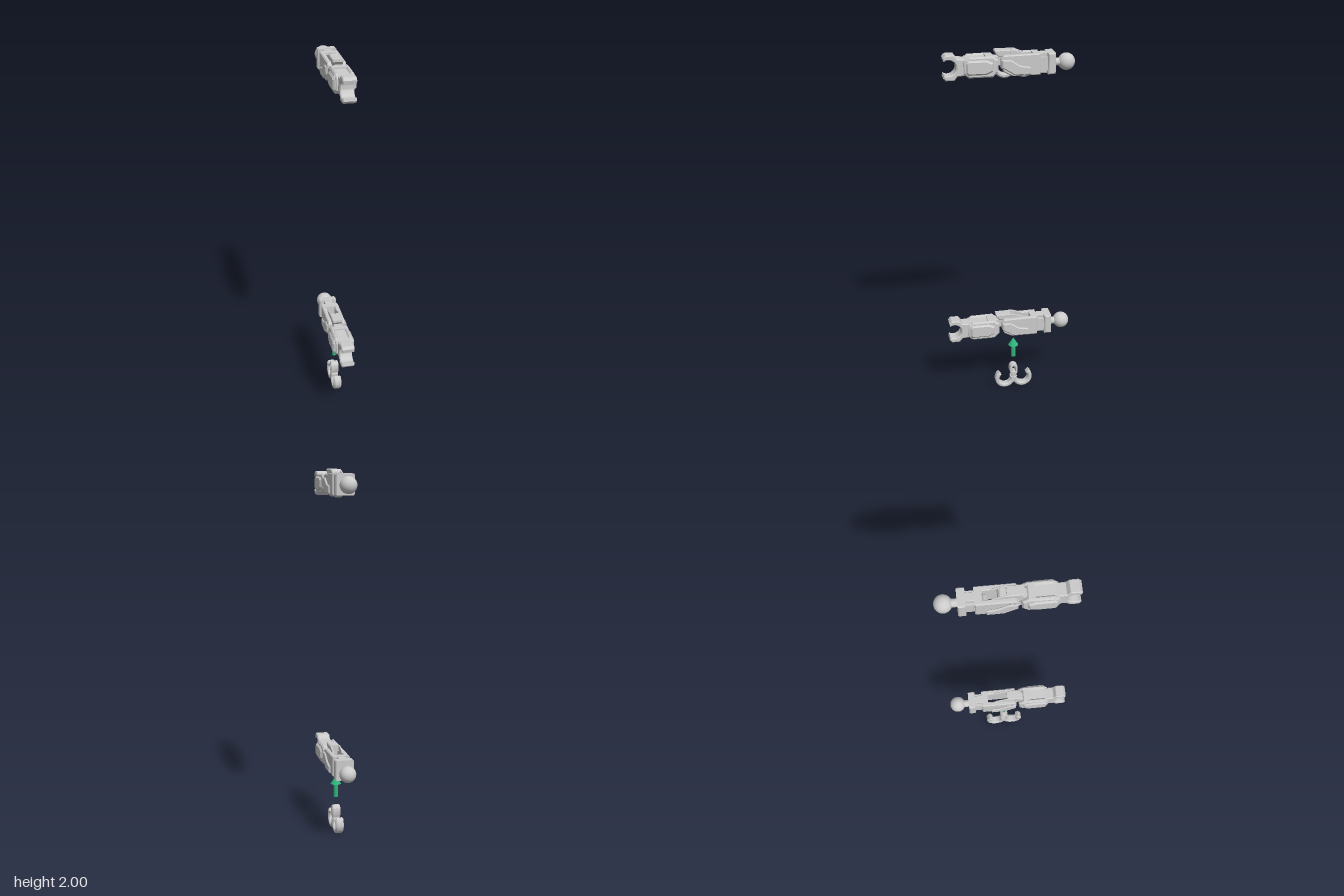
import * as THREE from 'three';
import { toCreasedNormals } from 'three/addons/utils/BufferGeometryUtils.js';

const grey = new THREE.MeshStandardMaterial({ color: 0xcccccc });
const green = new THREE.MeshStandardMaterial({ color: 0x2fb37a });

function add(parent, name, geometry, material = grey) {
  const mesh = new THREE.Mesh(geometry, material);
  mesh.name = name;
  parent.add(mesh);
  return mesh;
}

function polygon(points) {
  return new THREE.Shape(points.map(([s, y]) => new THREE.Vector2(s, y)));
}

// Side profile (z, y) extruded across x from x0 to x1, with chamfered edges
function slab(parent, name, profile, x0, x1, bevel = 0.004) {
  const shape = Array.isArray(profile) ? polygon(profile) : profile;
  const g = new THREE.ExtrudeGeometry(shape, {
    depth: x1 - x0 - 2 * bevel, bevelEnabled: bevel > 0, bevelSize: bevel,
    bevelThickness: bevel, bevelOffset: -bevel, bevelSegments: 1, curveSegments: 20,
  });
  g.translate(0, 0, -x1 + bevel).rotateY(-Math.PI / 2);
  return add(parent, name, toCreasedNormals(g, 0.5));
}

// The same slab on the left and on the right
function pair(parent, name, profile, x0, x1, bevel) {
  slab(parent, name + 'Left', profile, x0, x1, bevel);
  slab(parent, name + 'Right', profile, -x1, -x0, bevel);
}

const rect = (s0, s1, y0, y1) => [[s0, y0], [s1, y0], [s1, y1], [s0, y1]];

function makeArm() {
  const arm = new THREE.Group();

  // Ball joint and neck
  add(arm, 'ball', new THREE.SphereGeometry(0.045, 32, 24)).position.z = -0.303;
  const neck = add(arm, 'neck', new THREE.CylinderGeometry(0.021, 0.021, 0.06, 24));
  neck.rotation.x = Math.PI / 2;
  neck.position.z = -0.25;

  // Shoulder block and stepped waist
  slab(arm, 'shoulderBlock', rect(-0.237, -0.197, -0.053, 0.058), -0.051, 0.051, 0.006);
  slab(arm, 'waistCore', rect(-0.21, -0.14, -0.035, 0.036), -0.038, 0.038, 0);
  slab(arm, 'waistStem', rect(-0.205, -0.145, -0.051, 0.056), -0.023, 0.023, 0.003);

  // Hollow body: two walls, a closed rear, and sloping side panels
  pair(arm, 'bodyWall', [
    [-0.157, -0.053], [-0.01, -0.053], [0.035, -0.03], [0.048, 0.0],
    [0.048, 0.04], [0.035, 0.055], [-0.157, 0.058],
  ], 0.023, 0.049, 0.005);
  slab(arm, 'bodyRear', rect(-0.155, -0.12, -0.053, 0.058), -0.03, 0.03, 0);
  pair(arm, 'sidePanel', [
    [-0.105, -0.046], [-0.02, -0.046], [0.045, -0.006], [0.045, 0.034],
    [0.0, 0.034], [-0.05, 0.002], [-0.105, -0.008],
  ], 0.046, 0.059, 0.005);

  // Raised rails beside the slot and the cover in front of it
  pair(arm, 'slotRail', [
    [-0.08, 0.05], [0.0, 0.05], [0.0, 0.079], [-0.02, 0.079], [-0.075, 0.06],
  ], 0.021, 0.029, 0.002);
  slab(arm, 'cover', [
    [-0.005, 0.045], [0.058, 0.045], [0.077, 0.066], [0.077, 0.079], [-0.005, 0.079],
  ], -0.028, 0.028, 0.004);
  slab(arm, 'elbow', rect(0.02, 0.1, 0.0, 0.048), -0.023, 0.023, 0.003);

  // Forearm: shell, raised frame and swelling side panels
  slab(arm, 'forearm', [
    [0.063, -0.022], [0.09, -0.048], [0.225, -0.048], [0.242, -0.03],
    [0.242, 0.03], [0.23, 0.044], [0.09, 0.048], [0.063, 0.028],
  ], -0.048, 0.048, 0.006);
  pair(arm, 'forearmFrame', [
    [0.063, -0.028], [0.092, -0.054], [0.215, -0.054], [0.232, -0.036],
    [0.232, 0.036], [0.215, 0.053], [0.092, 0.055], [0.063, 0.034],
  ], 0.028, 0.051, 0.008);
  for (const side of [-1, 1])
    slab(arm, 'forearmBand', [[0.075, side > 0 ? 0.036 : -0.036], [0.127, side * 0.036],
      [0.127, side * 0.054], [0.095, side * 0.054]], -0.04, 0.04, 0.002);
  pair(arm, 'forearmPanel', [
    [0.09, -0.022], [0.125, -0.038], [0.218, -0.038], [0.23, -0.026],
    [0.23, 0.026], [0.218, 0.038], [0.125, 0.038], [0.09, 0.022],
  ], 0.04, 0.061, 0.009);

  // Open socket claw
  const claw = polygon([
    [0.342, -0.034], [0.345, -0.052], [0.332, -0.066], [0.288, -0.066], [0.272, -0.046],
    [0.22, -0.042], [0.22, 0.042], [0.272, 0.046], [0.288, 0.066], [0.332, 0.066],
    [0.345, 0.052], [0.342, 0.034],
  ].reverse());
  claw.absarc(0.318, 0, 0.041, -0.95, 0.95, true);
  slab(arm, 'claw', claw, -0.036, 0.036, 0.005);
  return arm;
}

function makeClip() {
  const clip = new THREE.Group();

  // Two hooks opening upward
  for (const side of [-1, 1]) {
    const inner = side > 0 ? Math.PI * 0.9 : Math.PI * 0.1;
    const outer = side > 0 ? Math.PI * 2.28 : -Math.PI * 1.28;
    const hook = new THREE.Shape();
    hook.absarc(side * 0.051, 0.057, 0.057, inner, outer, side < 0);
    hook.absarc(side * 0.051, 0.057, 0.033, outer, inner, side > 0);
    slab(clip, 'hook', hook, -0.022, 0.022, 0.007);
  }

  // Stem with a slotted round head
  slab(clip, 'stem', rect(-0.012, 0.012, 0.03, 0.09), -0.02, 0.02, 0.003);
  const head = new THREE.Shape();
  head.moveTo(-0.016, 0.078);
  head.lineTo(0.016, 0.078);
  head.lineTo(0.023, 0.1);
  head.absarc(0, 0.124, 0.023, 0, Math.PI, false);
  head.lineTo(-0.023, 0.1);
  const slot = new THREE.Path();
  slot.absarc(0, 0.123, 0.009, 0, Math.PI, false);
  slot.lineTo(-0.009, 0.1);
  slot.lineTo(0.009, 0.1);
  head.holes.push(slot);
  slab(clip, 'head', head, -0.022, 0.022, 0.003);
  return clip;
}

export function createModel() {
  const model = new THREE.Group();
  const place = (name, part, y, z = 0) => {
    part.name = name;
    part.position.set(0, y, z);
    model.add(part);
  };

  // Exploded pair below, joined pair above
  place('lowerArm', makeArm(), 0.405);
  place('lowerClip', makeClip(), 0, -0.026);
  place('upperArm', makeArm(), 1.921);
  place('upperClip', makeClip(), 1.853, -0.026);

  // Green pointer between the separate parts
  const arrow = new THREE.Group();
  add(arrow, 'arrowShaft', new THREE.CylinderGeometry(0.013, 0.013, 0.08, 24), green).position.y = 0.04;
  add(arrow, 'arrowHead', new THREE.ConeGeometry(0.029, 0.045, 24), green).position.y = 0.0975;
  place('arrow', arrow, 0.195, -0.026);

  model.rotation.y = -THREE.MathUtils.degToRad(20);
  return model;
}
